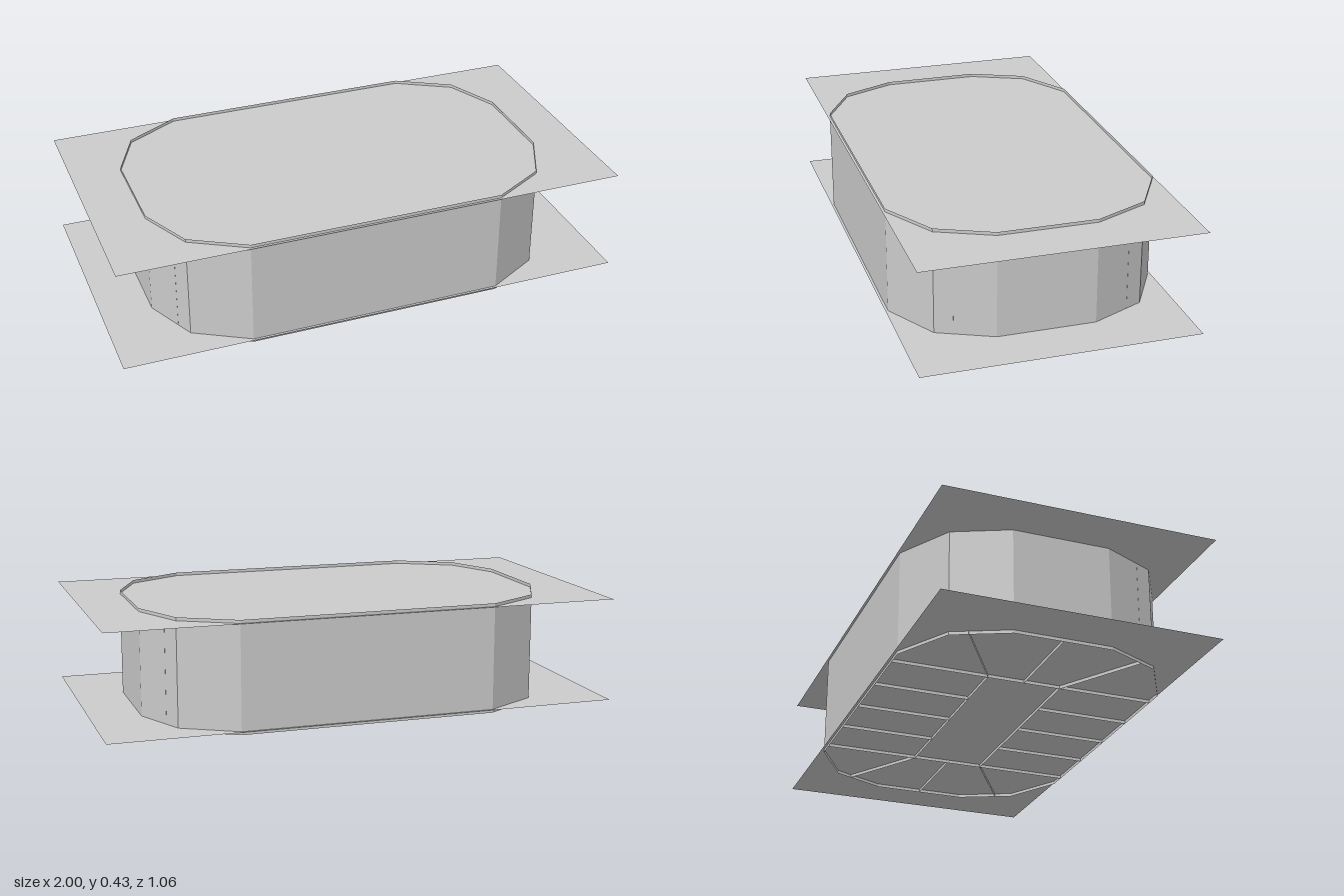
import * as THREE from 'three';

const material = new THREE.MeshStandardMaterial({ color: 0xcccccc, flatShading: true, side: THREE.DoubleSide });
const HEIGHT = 0.43, LIP = 0.013;

// Thin vertical wall following a list of [x, z] points
function wall(name, points, y0, y1, closed = false) {
  const position = [];
  const count = closed ? points.length : points.length - 1;
  for (let i = 0; i < count; i++) {
    const [ax, az] = points[i];
    const [bx, bz] = points[(i + 1) % points.length];
    position.push(ax, y0, az, bx, y0, bz, bx, y1, bz, ax, y0, az, bx, y1, bz, ax, y1, az);
  }
  const geometry = new THREE.BufferGeometry();
  geometry.setAttribute('position', new THREE.Float32BufferAttribute(position, 3));
  geometry.computeVertexNormals();
  const mesh = new THREE.Mesh(geometry, material);
  mesh.name = name;
  return mesh;
}

// Thin horizontal sheet
function sheet(name, y) {
  const mesh = new THREE.Mesh(new THREE.PlaneGeometry(2, 1.06).rotateX(-Math.PI / 2), material);
  mesh.position.y = y;
  mesh.name = name;
  return mesh;
}

export function createModel() {
  const model = new THREE.Group();
  model.name = 'walledEnclosure';

  // Floor and roof sheets, with the walls standing slightly past them
  model.add(sheet('floorSheet', LIP), sheet('roofSheet', HEIGHT - LIP));

  // Twelve-sided outer wall, mirrored from one quarter
  const quarter = [[0.805, 0.19], [0.71, 0.40], [0.50, 0.52]];
  const half = [...quarter, ...quarter.map(([x, z]) => [-x, z]).reverse()];
  const outline = [...half, ...half.map(([x, z]) => [x, -z]).reverse()];
  model.add(wall('outerWall', outline, 0, HEIGHT, true));

  // Central court wall
  const cx = 0.43, cz = 0.145, top = HEIGHT - 2 * LIP;
  model.add(wall('courtWall', [[cx, cz], [-cx, cz], [-cx, -cz], [cx, -cz]], 0, top, true));

  // Partitions between the court and the outer wall
  const partitions = new THREE.Group();
  partitions.name = 'partitions';
  for (const side of [1, -1]) {
    for (let i = -2; i <= 2; i++) {
      const x = i * cx / 2;
      partitions.add(wall('sidePartition', [[x, side * cz], [x, side * 0.52]], 0, top));
    }
    partitions.add(wall('endPartition', [[side * cx, 0], [side * 0.805, 0]], 0, top));
    for (const end of [1, -1]) {
      partitions.add(wall('cornerPartition', [[end * cx, side * cz], [end * 0.74, side * 0.335]], 0, top));
    }
  }
  model.add(partitions);
  return model;
}
